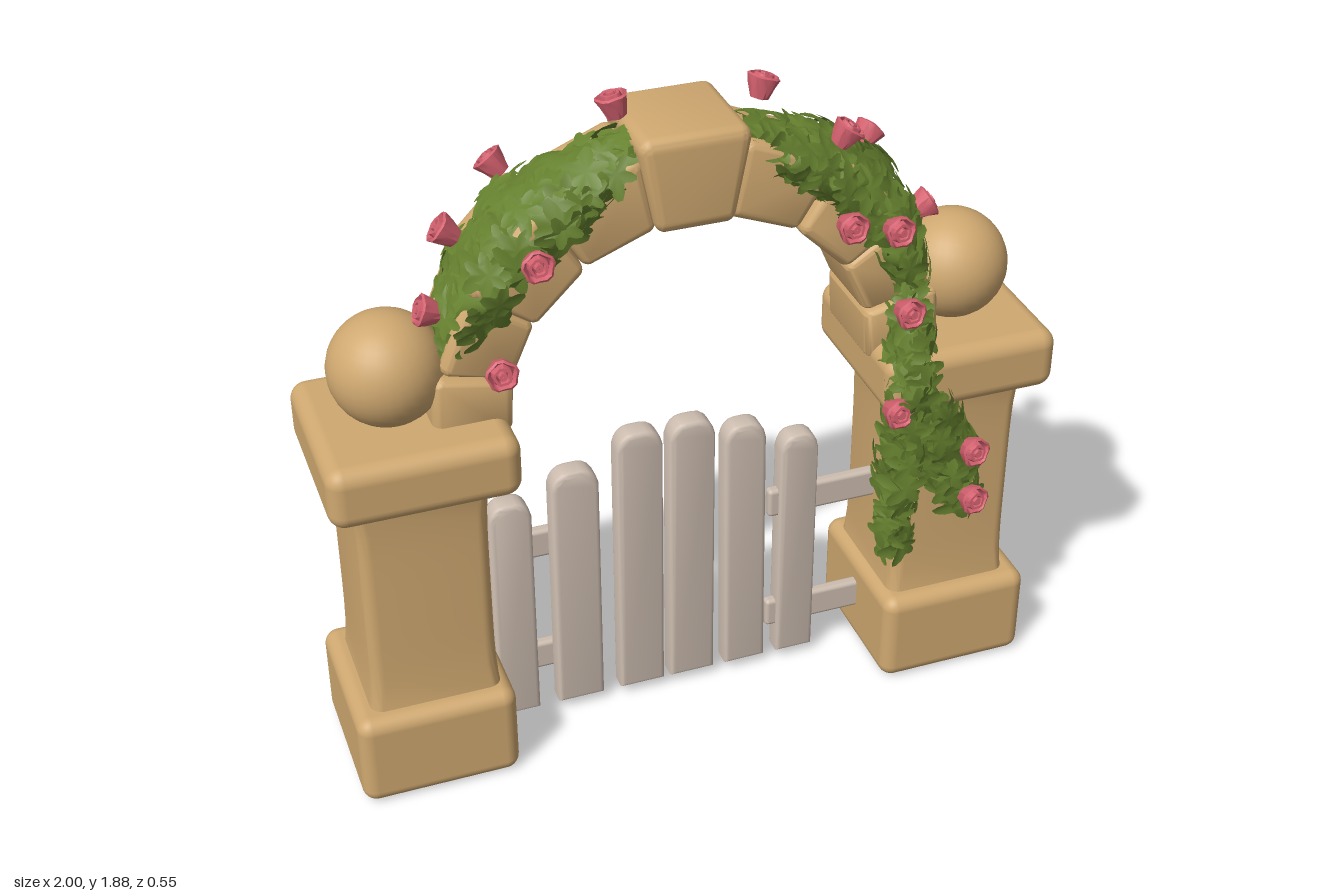
import * as THREE from 'three';
import { mergeGeometries, toCreasedNormals } from 'three/addons/utils/BufferGeometryUtils.js';
import { RoundedBoxGeometry } from 'three/addons/geometries/RoundedBoxGeometry.js';
import { ParametricGeometry } from 'three/addons/geometries/ParametricGeometry.js';

const V = (x, y, z) => new THREE.Vector3(x, y, z);
const rad = THREE.MathUtils.degToRad;
const Z_MID = -0.03, ARCH_Y = 1.1;

function material(name, color, doubleSided) {
  const m = new THREE.MeshStandardMaterial({ color });
  m.name = name;
  if (doubleSided) m.side = THREE.DoubleSide;
  return m;
}

// Small seeded generator for the foliage
let seed = 7;
function rnd(a = 0, b = 1) {
  seed = (seed * 16807) % 2147483647;
  return a + (b - a) * (seed / 2147483647);
}

// Apply a rule to every vertex
function warp(geo, rule) {
  const p = geo.attributes.position, v = V(0, 0, 0);
  for (let i = 0; i < p.count; i++) {
    rule(v.fromBufferAttribute(p, i));
    p.setXYZ(i, v.x, v.y, v.z);
  }
  return geo;
}

function roundedRect(w, d, r) {
  const s = new THREE.Shape(), x = w / 2, y = d / 2;
  s.absarc(x - r, y - r, r, 0, Math.PI / 2);
  s.absarc(-x + r, y - r, r, Math.PI / 2, Math.PI);
  s.absarc(-x + r, -y + r, r, Math.PI, Math.PI * 1.5);
  s.absarc(x - r, -y + r, r, Math.PI * 1.5, Math.PI * 2);
  return s;
}

// Shaft that swells a little at both ends
function shaftGeometry() {
  const h = 0.74;
  const geo = new THREE.ExtrudeGeometry(roundedRect(0.345, 0.35, 0.035), { depth: h, steps: 12, bevelEnabled: false, curveSegments: 4 });
  geo.rotateX(-Math.PI / 2);
  warp(geo, v => {
    const t = Math.abs(v.y / h - 0.5) * 2, k = 1 + 0.09 * t ** 5;
    v.x *= k; v.z *= k;
  });
  return toCreasedNormals(geo, 0.8);
}

// Wedge-shaped arch stone between two angles measured from the top
function archStone(a0, a1, grow, depth) {
  const geo = new RoundedBoxGeometry(0.26, 0.22, depth, 4, 0.03);
  warp(geo, v => {
    const a = rad(THREE.MathUtils.lerp(a0, a1, v.x / 0.26 + 0.5)), t = v.y / 0.22 + 0.5;
    const rx = THREE.MathUtils.lerp(0.49, 0.69 + grow, t), ry = THREE.MathUtils.lerp(0.455, 0.675 + grow, t);
    v.set(Math.sin(a) * rx, ARCH_Y + Math.cos(a) * ry, v.z - 0.045);
  });
  return toCreasedNormals(geo, 0.9);
}

// Picket with a blunt pointed top
function picketGeometry(w, h) {
  const b = 0.014, x = w / 2 - b, y = h - b, s = new THREE.Shape();
  s.moveTo(-x, b);
  s.lineTo(x, b);
  s.lineTo(x, y - 0.04);
  s.quadraticCurveTo(x * 0.85, y, x * 0.3, y);
  s.lineTo(-x * 0.3, y);
  s.quadraticCurveTo(-x * 0.85, y, -x, y - 0.04);
  const geo = new THREE.ExtrudeGeometry(s, { depth: 0.04, bevelSize: b, bevelThickness: b, bevelSegments: 3, curveSegments: 4 });
  return toCreasedNormals(geo.translate(0, 0, -0.02), 0.8);
}

// Five-lobed, slightly cupped leaf with its tip along +y
function leafGeometry() {
  const geo = new THREE.CircleGeometry(1, 30);
  return warp(geo, v => {
    const a = Math.atan2(v.x, v.y), len = Math.hypot(v.x, v.y);
    const r = len * (0.7 + 0.25 * Math.cos(5 * a)) * (0.9 + 0.2 * Math.cos(a));
    v.set(Math.sin(a) * r, Math.cos(a) * r, -0.28 * r * r + 0.1 * Math.abs(Math.sin(a) * r));
  });
}

// Point, outward direction and tangent on a leafy bank along a path
function bankFrame(bank, t, phi) {
  const c = bank.curve.getPoint(t), T = bank.curve.getTangent(t);
  const Z = V(0, 0, 1), N = Z.clone().cross(T).normalize().multiplyScalar(bank.side);
  const taper = Math.pow(Math.max(0, Math.sin(Math.PI * (0.04 + 0.92 * t))), 0.45);
  const k = taper * (1 + 0.09 * Math.sin(t * 31 + phi * 2) + 0.06 * Math.sin(t * 17 - phi * 3));
  const point = c.addScaledVector(N, Math.cos(phi) * bank.a * k).addScaledVector(Z, Math.sin(phi) * bank.b * k);
  const normal = N.multiplyScalar(Math.cos(phi) / bank.a).addScaledVector(Z, Math.sin(phi) / bank.b).normalize();
  return { point, normal, T };
}

function leafBank(bank) {
  const body = new ParametricGeometry((u, v, out) => out.copy(bankFrame(bank, u, v * Math.PI * 2).point), 40, 18);
  const leaf = leafGeometry(), leaves = [];
  for (let i = 0; i < bank.count; i++) {
    const t = (i + rnd()) / bank.count;
    const { point, normal, T } = bankFrame(bank, t, rnd(bank.from, bank.to));
    const side = normal.clone().cross(T);
    const tip = T.multiplyScalar(rnd(-0.5, 1)).addScaledVector(side, rnd(-1, 1)).addScaledVector(normal, -0.1).normalize();
    const x = tip.clone().cross(normal).normalize(), z = x.clone().cross(tip);
    const s = rnd(0.062, 0.088);
    const m = new THREE.Matrix4().makeBasis(x, tip, z).scale(V(s, s, s));
    m.setPosition(point.addScaledVector(normal, rnd(0.008, 0.022)));
    leaves.push(leaf.clone().applyMatrix4(m));
  }
  const foliage = mergeGeometries(leaves);
  foliage.computeVertexNormals();
  return [body, foliage];
}

// Rose: an open cup with a coiled heart, facing +y
function roseGeometry() {
  const cup = [[0.001, -0.035], [0.024, -0.03], [0.034, 0], [0.042, 0.026], [0.036, 0.03], [0.028, 0.016], [0.024, 0.034],
    [0.017, 0.034], [0.013, 0.022], [0.01, 0.037], [0.001, 0.036]].map(p => new THREE.Vector2(...p));
  const geo = warp(new THREE.LatheGeometry(cup, 15), v => {
    const a = Math.atan2(v.z, v.x), k = 1 + 0.08 * Math.cos(5 * a + v.y * 60);
    v.x *= k; v.z *= k;
  });
  return toCreasedNormals(geo, 0.7);
}

export function createModel() {
  const root = new THREE.Group();
  root.name = 'gardenArch';
  const stone = material('sandstone', 0xcfa870), wood = material('paleWood', 0xcdbdb0);
  const green = material('leafGreen', 0x66812f, true), pink = material('rosePink', 0xd4616f, true);
  const add = (parent, name, geo, mat, x = 0, y = 0, z = 0) => {
    const mesh = new THREE.Mesh(geo, mat);
    mesh.name = name;
    mesh.position.set(x, y, z);
    parent.add(mesh);
    return mesh;
  };
  const group = name => {
    const g = new THREE.Group();
    g.name = name;
    root.add(g);
    return g;
  };

  // Pillars
  for (const s of [-1, 1]) {
    const pillar = group(s > 0 ? 'leftPillar' : 'rightPillar');
    add(pillar, 'base', new RoundedBoxGeometry(0.44, 0.28, 0.46, 4, 0.04), stone, s * 0.765, 0.14, Z_MID);
    add(pillar, 'shaft', shaftGeometry(), stone, s * 0.755, 0.23, Z_MID);
    add(pillar, 'cap', new RoundedBoxGeometry(0.5, 0.175, 0.49, 4, 0.045), stone, s * 0.75, 1.015, Z_MID);
    add(pillar, 'ball', new THREE.SphereGeometry(0.152, 32, 20), stone, s * 0.782, 1.235, Z_MID);
  }

  // Arch stones
  const arch = group('arch');
  add(arch, 'keystone', archStone(-12, 12, 0.045, 0.31), stone);
  const joints = [11, 35, 58, 78, 96];
  for (const s of [-1, 1]) for (let i = 0; i < 4; i++) {
    const [a0, a1] = s > 0 ? [joints[i], joints[i + 1]] : [-joints[i + 1], -joints[i]];
    add(arch, 'archStone', archStone(a0, a1, i % 2 ? 0.012 : -0.005, i % 2 ? 0.28 : 0.26), stone);
  }

  // Picket gate: centre, width, top, lean
  const gate = group('gate');
  for (const [x, w, top, lean] of [[-0.49, 0.12, 0.75, 0], [-0.307, 0.135, 0.815, 0], [-0.123, 0.132, 0.9, 0],
    [0.028, 0.132, 0.9, 0], [0.19, 0.122, 0.855, 0.01], [0.345, 0.112, 0.785, 0]]) {
    add(gate, 'picket', picketGeometry(w, top - 0.03), wood, x, 0.03, Z_MID).rotation.z = lean;
  }
  for (const y of [0.165, 0.557]) {
    add(gate, 'rightRail', new RoundedBoxGeometry(0.28, 0.09, 0.035, 2, 0.012), wood, -0.48, y, Z_MID - 0.045);
    add(gate, 'leftRail', new RoundedBoxGeometry(0.36, 0.09, 0.035, 2, 0.012), wood, 0.44, y, Z_MID);
  }

  // Climbing foliage over the arch and down the left pillar
  const arc = (s, a0, a1) => new THREE.CatmullRomCurve3([0, 1, 2, 3, 4].map(i => {
    const a = rad(a0 + (a1 - a0) * i / 4);
    return V(s * Math.sin(a) * 0.635, ARCH_Y + Math.cos(a) * 0.635, -0.015);
  }));
  const path = pts => new THREE.CatmullRomCurve3(pts.map(p => V(...p)));
  const banks = {
    rightArchFoliage: { curve: arc(-1, 9, 74), side: -1, a: 0.085, b: 0.13, from: -0.7, to: 2.3, count: 85 },
    leftArchFoliage: { curve: arc(1, 15, 84), side: 1, a: 0.09, b: 0.135, from: -0.7, to: 2.5, count: 100 },
    innerTrail: { curve: path([[0.6, 1.25, 0.08], [0.58, 1.1, 0.16], [0.565, 0.93, 0.18], [0.58, 0.7, 0.14], [0.58, 0.42, 0.12]]),
      side: 1, a: 0.05, b: 0.06, from: 0.3, to: 3.6, count: 60 },
    outerTrail: { curve: path([[0.58, 1.06, 0.18], [0.64, 0.88, 0.18], [0.71, 0.74, 0.165], [0.76, 0.57, 0.16]]),
      side: 1, a: 0.075, b: 0.045, from: 0, to: 3.14, count: 40 },
  };
  for (const [name, bank] of Object.entries(banks)) {
    const g = group(name), [body, leaves] = leafBank(bank);
    add(g, 'foliageBody', body, green);
    add(g, 'leaves', leaves, green);
  }

  // Roses: those set forward face the front, the rest face out from the arch
  const roses = group('roses'), rose = roseGeometry();
  for (const [x, y, z] of [[-0.16, 1.84, -0.06], [-0.6, 1.57, -0.06], [-0.67, 1.39, 0], [-0.43, 1.56, 0.15], [-0.535, 1.28, 0.16],
    [-0.44, 1.67, -0.18], [0.23, 1.83, -0.06], [0.41, 1.72, 0.06], [0.56, 1.6, -0.14], [0.65, 1.46, 0.03], [0.39, 1.515, 0.16],
    [0.52, 1.48, 0.16], [0.56, 1.235, 0.17], [0.515, 0.97, 0.23], [0.745, 0.8, 0.24], [0.76, 0.63, 0.23]]) {
    const dir = z > 0.14 ? V(x * 0.2, 0.15, 1) : V(x, y - ARCH_Y, z * 1.5);
    add(roses, 'rose', rose, pink, x, y, z).quaternion.setFromUnitVectors(V(0, 1, 0), dir.normalize());
  }
  return root;
}
